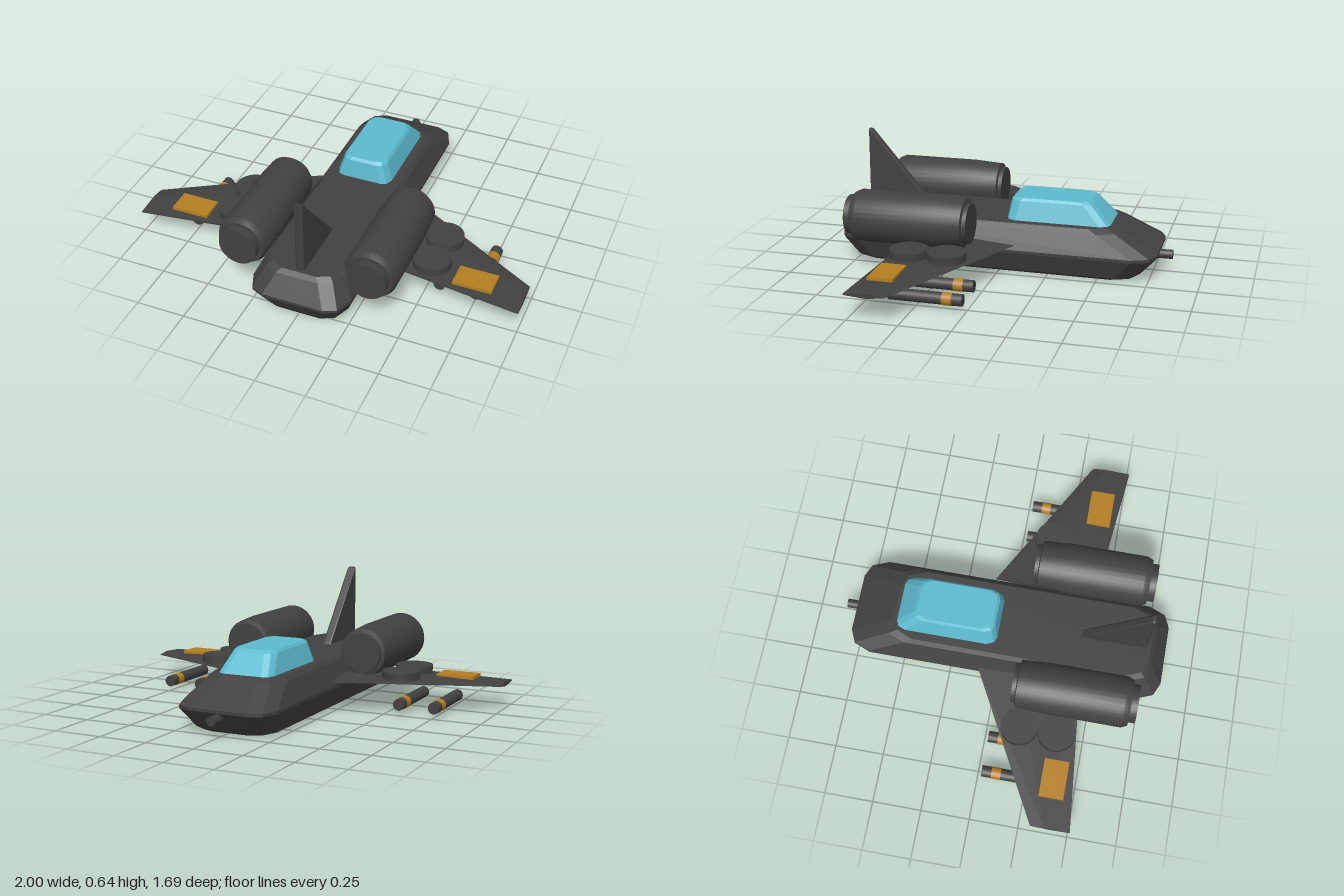
import * as THREE from 'three';
import { toCreasedNormals } from 'three/addons/utils/BufferGeometryUtils.js';
import { ConvexGeometry } from 'three/addons/geometries/ConvexGeometry.js';

const hull = new THREE.MeshStandardMaterial({ color: 0x414141 });
hull.name = 'dark hull';
const glass = new THREE.MeshStandardMaterial({ color: 0x5cbace });
glass.name = 'canopy blue';
const amber = new THREE.MeshStandardMaterial({ color: 0xb47e20 });
amber.name = 'amber';

function add(parent, name, geometry, material, x = 0, y = 0, z = 0) {
  const mesh = new THREE.Mesh(geometry, material);
  mesh.name = name;
  mesh.position.set(x, y, z);
  parent.add(mesh);
  return mesh;
}

// Convex body from horizontal rings [y, halfWidth, zNose, zTail] with cut corners
function ringBody(rings, cutX, cutZ) {
  const points = [];
  for (const [y, w, z0, z1] of rings) {
    for (const side of [-1, 1]) {
      for (const [dx, dz] of [[cutX, 0], [cutX * 0.35, cutZ * 0.25], [0, cutZ]]) {
        points.push(new THREE.Vector3(side * (w - dx), y, z0 + dz));
        points.push(new THREE.Vector3(side * (w - dx), y, z1 - dz));
      }
    }
  }
  return new ConvexGeometry(points);
}

// Cylinder lying along z, spanning z0 to z1
function rod(r, z0, z1, segments = 20) {
  return new THREE.CylinderGeometry(r, r, z1 - z0, segments)
    .rotateX(Math.PI / 2).translate(0, 0, (z0 + z1) / 2);
}

// Tapered wing between a root and a tip section, each a thin wedge
function wingGeometry(side) {
  const root = [[-0.095, 0.155], [0.12, 0.172], [0.435, 0.155], [0.435, 0.145], [0.12, 0.132]];
  const tip = [[0.31, 0.126], [0.38, 0.137], [0.51, 0.128], [0.51, 0.122], [0.40, 0.113]];
  const at = (x) => ([z, y]) => new THREE.Vector3(side * x, y, z);
  return new ConvexGeometry([...root.map(at(0.25)), ...tip.map(at(1))]);
}

export function createModel() {
  const model = new THREE.Group();
  model.name = 'fighter craft';

  // Fuselage, widest at the waist
  add(model, 'fuselage', ringBody([
    [0, 0.195, -0.68, 0.768],
    [0.015, 0.213, -0.70, 0.782],
    [0.115, 0.254, -0.786, 0.844],
    [0.13, 0.254, -0.786, 0.844],
    [0.23, 0.207, -0.605, 0.78],
    [0.25, 0.188, -0.565, 0.76],
  ], 0.1, 0.115), hull);

  // Canopy
  add(model, 'canopy', ringBody([
    [0.245, 0.148, -0.55, -0.02],
    [0.345, 0.117, -0.457, -0.037],
    [0.358, 0.106, -0.44, -0.05],
  ], 0.045, 0.05), glass);

  // Nose gun
  add(model, 'noseGun', rod(0.023, -0.845, -0.7), hull, 0, 0.09, 0);

  // Upright tail fin, drawn as (-z, y) and turned into the yz plane
  const finShape = new THREE.Shape([
    new THREE.Vector2(-0.738, 0.24), new THREE.Vector2(-0.40, 0.24),
    new THREE.Vector2(-0.73, 0.627), new THREE.Vector2(-0.738, 0.63),
  ]);
  const fin = new THREE.ExtrudeGeometry(finShape, {
    depth: 0.028, bevelEnabled: true, bevelThickness: 0.008, bevelSize: 0.006, bevelSegments: 1,
  }).translate(0, 0, -0.014).rotateY(Math.PI / 2);
  add(model, 'tailFin', fin, hull);

  // Engine profile (radius, z), spun around its own axis
  const profile = [
    [0, 0.735], [0.098, 0.735], [0.098, 0.70], [0.116, 0.70], [0.13, 0.67], [0.13, 0.28],
    [0.121, 0.13], [0.101, 0.125], [0.101, 0.105], [0, 0.105],
  ].map(([r, z]) => new THREE.Vector2(r, -z)).map((p) => p);
  const engine = toCreasedNormals(
    new THREE.LatheGeometry(profile, 32).rotateX(-Math.PI / 2), 0.45);

  for (const side of [-1, 1]) {
    const half = new THREE.Group();
    half.name = side > 0 ? 'leftSide' : 'rightSide';
    model.add(half);

    add(half, 'wing', wingGeometry(side), hull);
    add(half, 'engine', engine, hull, side * 0.33, 0.277, 0);

    // Round pods on the wing beside the engine
    for (const z of [0.17, 0.36]) {
      add(half, 'wingDisc', new THREE.CylinderGeometry(0.095, 0.095, 0.04, 28),
        hull, side * 0.523, 0.174, z);
    }

    // Coloured wing panel
    add(half, 'wingPanel', new THREE.BoxGeometry(0.195, 0.016, 0.125),
      amber, side * 0.753, 0.151, 0.388);

    // Rockets below the wing, each with a coloured band
    for (const x of [0.57, 0.753]) {
      add(half, 'rocket', rod(0.029, 0.02, 0.38), hull, side * x, 0.049, 0);
      add(half, 'rocketBand', rod(0.031, 0.07, 0.118), amber, side * x, 0.049, 0);
    }
  }
  return model;
}
